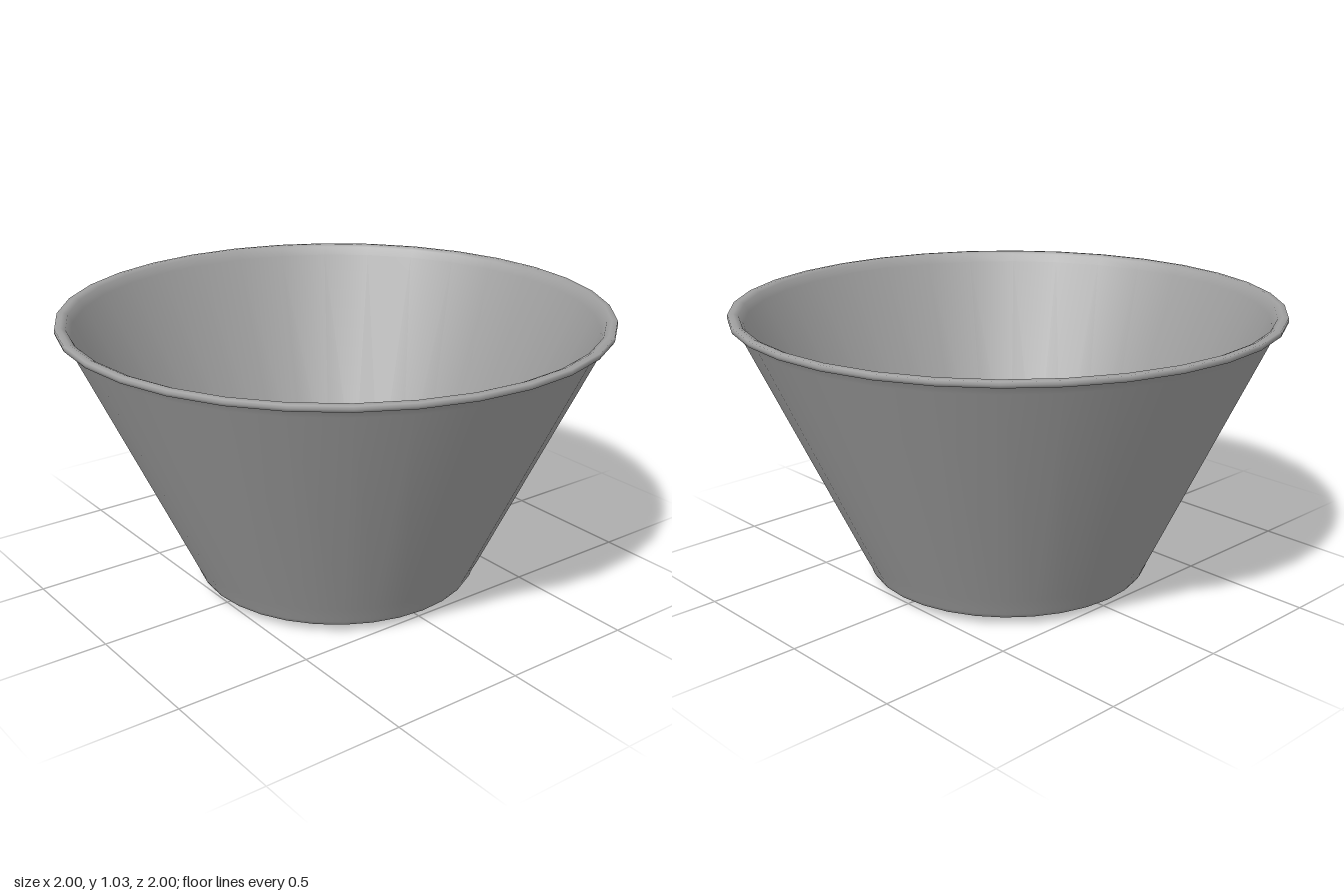
import * as THREE from 'three';

export function createModel() {
  const group = new THREE.Group();
  group.name = 'bowl';

  // Shallow dished underside, rounded foot and flared outside wall
  const outside = [
    [0, 0.003], [0.25, 0.014], [0.48, 0.025], [0.505, 0.028], [0.522, 0.036],
    [0.532, 0.052], [0.537, 0.07], [0.56, 0.116], [0.962, 0.985], [0.973, 1.01],
  ];

  // Small turned-out lip with softened edges
  const lip = [[0.98, 1.014], [0.998, 1.016], [1.0, 1.026], [0.998, 1.036], [0.978, 1.038], [0.96, 1.03]];

  // Inside wall and floor, following the outside at a thin offset
  const inside = [
    [0.945, 1.0], [0.54, 0.116], [0.522, 0.07], [0.516, 0.055],
    [0.505, 0.048], [0.48, 0.045], [0.25, 0.034], [0, 0.023],
  ];

  // One continuous turned surface, so the lip blends into both walls
  const profile = [...outside, ...lip, ...inside].map(([r, y]) => new THREE.Vector2(r, y));
  const body = new THREE.Mesh(
    new THREE.LatheGeometry(profile, 32),
    new THREE.MeshStandardMaterial({ color: 0xa0a0a0, side: THREE.DoubleSide }),
  );
  body.name = 'bowlBody';
  group.add(body);
  return group;
}
